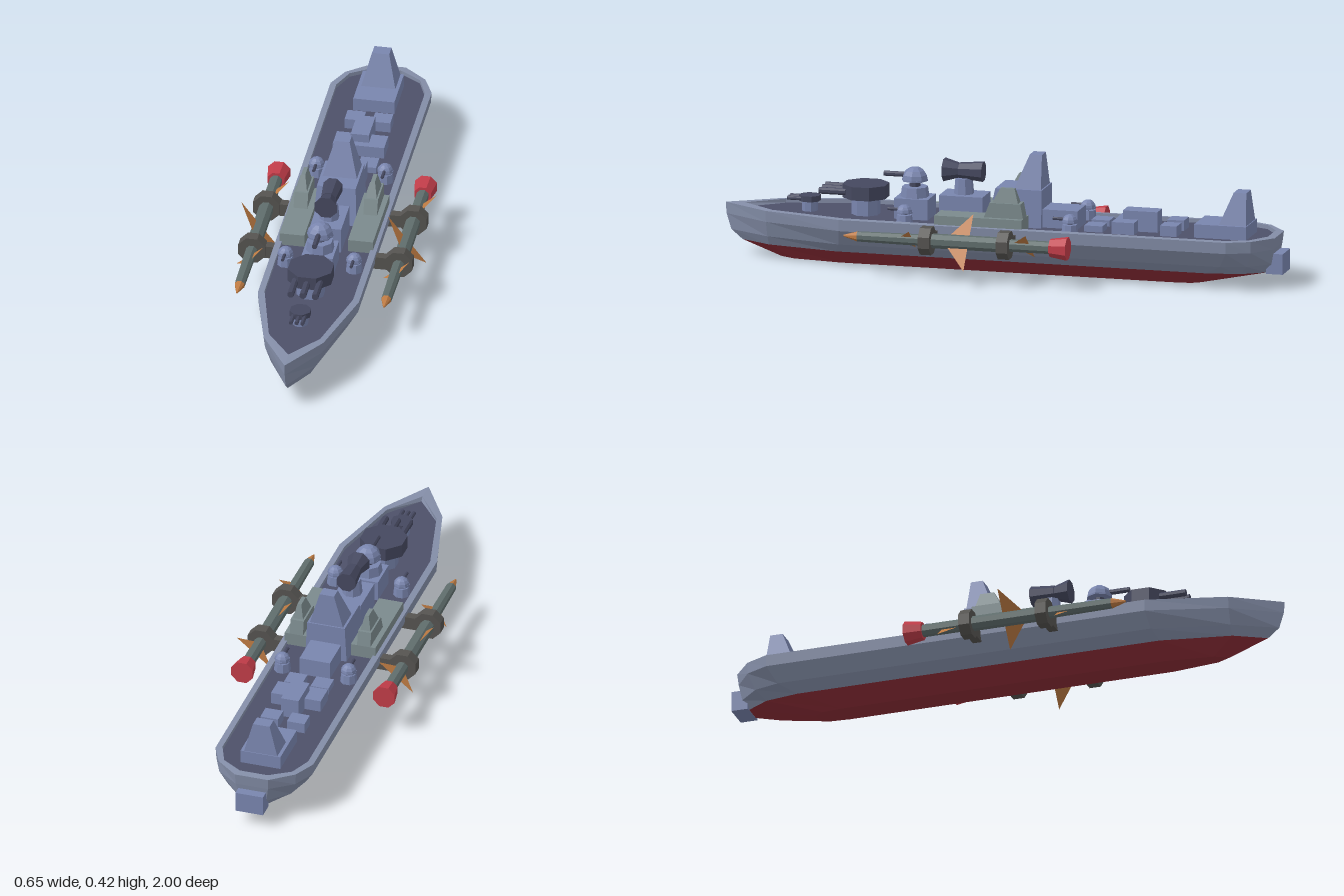
import * as THREE from 'three';

const mat = (name, color) => {
  const m = new THREE.MeshStandardMaterial({ color, flatShading: true });
  m.name = name;
  return m;
};

export function createModel() {
  const hullGrey = mat('hull grey', 0x848ea8);
  const steel = mat('steel blue', 0x7985ae);
  const deckDark = mat('deck dark', 0x4d5069);
  const gunDark = mat('gun dark', 0x45485f);
  const keelRed = mat('keel red', 0x8c2c36);
  const nozzleRed = mat('nozzle red', 0xc03c48);
  const sponsonGreen = mat('sponson grey green', 0x7b8a8d);
  const rocketGreen = mat('rocket green', 0x5f6d6c);
  const clampBrown = mat('clamp brown', 0x555350);
  const orange = mat('fin orange', 0xbd7a42);
  const finOrange = orange.clone();
  finOrange.name = 'fin orange thin';
  finOrange.side = THREE.DoubleSide;

  const ship = new THREE.Group();
  ship.name = 'warship';

  const add = (name, geo, material, x = 0, y = 0, z = 0, parent = ship) => {
    const m = new THREE.Mesh(geo, material);
    m.name = name;
    m.position.set(x, y, z);
    parent.add(m);
    return m;
  };
  // box given by its limits; top = [halfWidth, zBack, zFront] tapers the upper face
  const block = (name, material, cx, hw, y0, y1, z0, z1, top) => {
    const g = new THREE.BoxGeometry(2 * hw, y1 - y0, z1 - z0);
    g.translate(0, (y0 + y1) / 2, (z0 + z1) / 2);
    if (top) {
      const p = g.attributes.position;
      for (let i = 0; i < p.count; i++) {
        if (p.getY(i) < (y0 + y1) / 2) continue;
        p.setX(i, Math.sign(p.getX(i)) * top[0]);
        p.setZ(i, p.getZ(i) < (z0 + z1) / 2 ? top[1] : top[2]);
      }
    }
    return add(name, g, material, cx);
  };
  // upright prism, and a rod along z
  const drum = (name, material, rTop, rBottom, y0, y1, x, z, sides = 8) =>
    add(name, new THREE.CylinderGeometry(rTop, rBottom, y1 - y0, sides).rotateY(Math.PI / sides),
      material, x, (y0 + y1) / 2, z);
  const rod = (name, material, rFront, rBack, z0, z1, x, y, parent = ship, sides = 8) =>
    add(name, new THREE.CylinderGeometry(rFront, rBack, z1 - z0, sides).rotateY(Math.PI / sides).rotateX(Math.PI / 2),
      material, x, y, (z0 + z1) / 2, parent);

  // waterline ring: bow z, then half widths and z positions toward the stern
  const ring = (y, bow, side) => [
    [0, y, bow],
    ...side.map(([x, z]) => [x, y, z]),
    ...side.slice().reverse().map(([x, z]) => [-x, y, z]),
  ];
  const loft = (rings, capTop, capBottom) => {
    const v = [];
    for (let r = 0; r + 1 < rings.length; r++) {
      const a = rings[r], b = rings[r + 1], n = a.length;
      for (let i = 0; i < n; i++) {
        const j = (i + 1) % n;
        v.push(...a[i], ...b[i], ...b[j], ...a[i], ...b[j], ...a[j]);
      }
    }
    const last = rings[rings.length - 1];
    for (let i = 1; i + 1 < last.length; i++) {
      if (capTop) v.push(...rings[0][0], ...rings[0][i], ...rings[0][i + 1]);
      if (capBottom) v.push(...last[0], ...last[i + 1], ...last[i]);
    }
    const g = new THREE.BufferGeometry();
    g.setAttribute('position', new THREE.Float32BufferAttribute(v, 3));
    g.computeVertexNormals();
    return g;
  };

  // Hull, keel and sunken deck
  const inner = [[0.09, 0.81], [0.155, 0.54], [0.155, -0.82], [0.123, -0.9], [0.05, -0.948]];
  const deckRing = ring(0.168, 0.92, inner);
  const redLine = ring(0.052, 0.94, [[0.06, 0.83], [0.105, 0.58], [0.105, -0.74], [0.085, -0.86], [0.035, -0.94]]);
  add('hull', loft([
    deckRing,
    ring(0.182, 0.93, inner),
    ring(0.18, 1.0, [[0.105, 0.83], [0.177, 0.55], [0.177, -0.83], [0.14, -0.91], [0.06, -0.975]]),
    ring(0.14, 0.997, [[0.1, 0.83], [0.174, 0.55], [0.174, -0.83], [0.138, -0.91], [0.058, -0.97]]),
    ring(0.085, 0.98, [[0.08, 0.83], [0.14, 0.56], [0.14, -0.8], [0.115, -0.89], [0.05, -0.96]]),
    redLine,
  ]), hullGrey);
  add('keel', loft([
    redLine,
    ring(0, 0.8, [[0.025, 0.75], [0.046, 0.58], [0.046, -0.6], [0.04, -0.67], [0.02, -0.7]]),
  ], false, true), keelRed);
  add('deck', loft([deckRing], true, false), deckDark);
  block('sternBox', steel, 0, 0.05, 0.05, 0.122, -1.0, -0.94);

  // Forward guns
  drum('smallTurretBase', steel, 0.028, 0.028, 0.165, 0.203, 0, 0.7);
  drum('smallTurret', gunDark, 0.038, 0.038, 0.203, 0.223, 0, 0.7);
  drum('mainTurretBase', steel, 0.05, 0.05, 0.165, 0.228, 0, 0.5);
  drum('mainTurret', gunDark, 0.082, 0.082, 0.228, 0.275, 0, 0.5);
  for (const i of [-1, 0, 1]) {
    rod('smallBarrel', gunDark, 0.007, 0.007, 0.72, 0.775, i * 0.02, 0.212);
    rod('mainBarrel', gunDark, 0.012, 0.012, 0.56, 0.655, i * 0.043, 0.25);
  }

  // Domed guns: one large on the centreline, four small along the sides
  const domeGun = (x, z, y, r, len) => {
    drum('domeGunNeck', gunDark, r * 0.4, r * 0.4, y - r * 0.5, y + r * 0.3, x, z);
    add('domeGunHood', new THREE.SphereGeometry(r, 8, 4, 0, Math.PI * 2, 0, Math.PI / 2), steel, x, y, z);
    add('domeGunFloor', new THREE.CylinderGeometry(r, r, 0.006, 8), steel, x, y, z);
    rod('domeGunBarrel', gunDark, r * 0.2, r * 0.2, z, z + len, x, y + r * 0.35);
  };
  block('frontHouse', steel, 0, 0.055, 0.165, 0.24, 0.265, 0.385);
  drum('domeGunPedestal', steel, 0.045, 0.05, 0.24, 0.275, 0, 0.325);
  domeGun(0, 0.325, 0.298, 0.046, 0.11);
  for (const x of [-0.12, 0.12]) for (const z of [0.33, -0.26]) {
    drum('sideGunBase', steel, 0.026, 0.03, 0.165, 0.2, x, z);
    domeGun(x, z, 0.208, 0.028, 0.06);
  }

  // Searchlight on its house
  block('lightHouse', steel, 0, 0.055, 0.165, 0.26, 0.07, 0.225);
  drum('lightPost', steel, 0.03, 0.035, 0.26, 0.315, 0, 0.15);
  rod('lightFront', gunDark, 0.042, 0.026, 0.165, 0.22, 0, 0.34);
  rod('lightBack', gunDark, 0.028, 0.036, 0.08, 0.165, 0, 0.34);

  // Bridge and masts
  block('bridge', steel, 0, 0.075, 0.165, 0.3, -0.145, 0.05, [0.068, -0.145, 0.02]);
  block('bridgeTower', steel, 0, 0.06, 0.3, 0.417, -0.14, -0.045, [0.026, -0.135, -0.092]);
  block('bridgeAft', steel, 0, 0.055, 0.165, 0.232, -0.27, -0.145);
  block('aftMastBase', steel, 0, 0.072, 0.165, 0.215, -0.875, -0.69);
  block('aftMast', steel, 0, 0.06, 0.215, 0.325, -0.872, -0.775, [0.03, -0.865, -0.82]);

  // Aft deck houses and hatches
  block('aftHouse', steel, 0, 0.09, 0.165, 0.21, -0.48, -0.4);
  block('aftHouseUpper', steel, 0, 0.032, 0.165, 0.24, -0.548, -0.425);
  for (const x of [-0.048, 0.048]) {
    block('hatch', steel, x, 0.032, 0.165, 0.19, -0.365, -0.3);
    block('hatch', steel, x, 0.032, 0.165, 0.205, -0.63, -0.57);
  }

  // Sponsons with pointed towers
  for (const s of [-1, 1]) {
    block('sponson', sponsonGreen, s * 0.12, 0.044, 0.165, 0.213, -0.1, 0.212);
    block('sponsonTower', sponsonGreen, s * 0.122, 0.024, 0.213, 0.265, -0.1, 0.04, [0.024, -0.09, 0.02]);
    block('sponsonSpire', sponsonGreen, s * 0.122, 0.018, 0.265, 0.316, -0.08, 0.012, [0.007, -0.065, -0.015]);
  }

  // Rockets held alongside the hull
  const finPair = (parent, angle, reach, zBack, zFront) => {
    for (const a of [angle, angle + Math.PI]) {
      const c = Math.cos(a), s = Math.sin(a);
      const g = new THREE.BufferGeometry();
      g.setAttribute('position', new THREE.Float32BufferAttribute(
        [0, 0, zBack, c * reach, s * reach, zBack, 0, 0, zFront], 3));
      g.computeVertexNormals();
      add('rocketFin', g, finOrange, 0, 0, 0, parent);
    }
  };
  for (const s of [-1, 1]) {
    const rocket = new THREE.Group();
    rocket.name = 'rocket';
    rocket.position.set(s * 0.257, 0.145, 0);
    ship.add(rocket);
    rod('rocketNose', orange, 0.003, 0.018, 0.46, 0.51, 0, 0, rocket);
    rod('rocketFront', rocketGreen, 0.018, 0.021, 0.2, 0.46, 0, 0, rocket);
    rod('rocketBody', rocketGreen, 0.026, 0.026, -0.08, 0.2, 0, 0, rocket);
    rod('rocketTail', rocketGreen, 0.022, 0.022, -0.235, -0.08, 0, 0, rocket);
    rod('rocketNozzle', nozzleRed, 0.032, 0.042, -0.29, -0.228, 0, 0, rocket);
    finPair(rocket, 2.23, 0.11, 0.065, 0.155);
    finPair(rocket, 0.68, 0.08, -0.155, -0.085);
    finPair(rocket, 0.68, 0.06, 0.265, 0.32);
    for (const z of [0.213, -0.065]) {
      rod('clampRing', clampBrown, 0.051, 0.051, z - 0.02, z + 0.02, 0, 0, rocket);
      add('clampArm', new THREE.BoxGeometry(0.12, 0.046, 0.032), clampBrown, -s * 0.07, -0.004, z, rocket);
    }
  }
  return ship;
}
